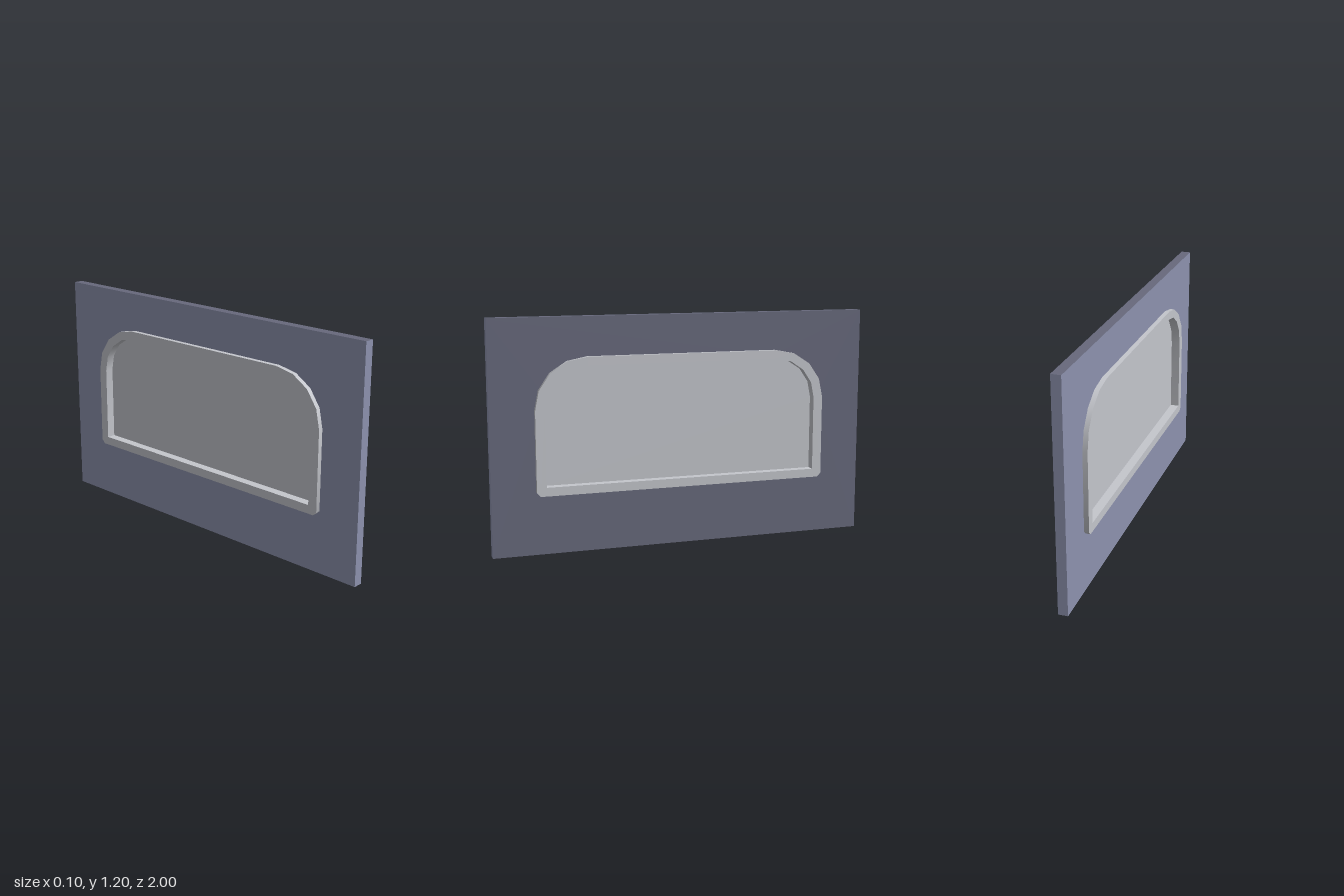
import * as THREE from 'three';
import { toCreasedNormals } from 'three/addons/utils/BufferGeometryUtils.js';

const paint = new THREE.MeshStandardMaterial({ color: 0x8d92ae });
paint.name = 'blue grey paint';
const darkPaint = new THREE.MeshStandardMaterial({ color: 0x67697c });
darkPaint.name = 'dark grey paint';
const pale = new THREE.MeshStandardMaterial({ color: 0xc4c6cc });
pale.name = 'pale grey';

// Window outline: square or chamfered foot, faceted elliptical shoulders
function windowPoints(halfWidth, bottom, top, chamfer) {
  const cx = 0.505, cy = 0.74;
  const half = chamfer
    ? [[halfWidth - chamfer, bottom], [halfWidth, bottom + chamfer]]
    : [[halfWidth, bottom]];
  for (let i = 0; i <= 4; i++) {
    const a = (i / 4) * Math.PI / 2;
    half.push([cx + (halfWidth - cx) * Math.cos(a), cy + (top - cy) * Math.sin(a)]);
  }
  const mirrored = half.map(([z, y]) => [-z, y]).reverse();
  return [...half, ...mirrored].map(([z, y]) => new THREE.Vector2(z, y));
}

// Extrude a z-y outline between two x positions
function slab(name, outline, hole, x0, x1, material) {
  const shape = new THREE.Shape(outline);
  if (hole) shape.holes.push(new THREE.Path(hole));
  const geometry = new THREE.ExtrudeGeometry(shape, { depth: x1 - x0, bevelEnabled: false });
  geometry.rotateY(-Math.PI / 2).translate(x1, 0, 0);
  const mesh = new THREE.Mesh(toCreasedNormals(geometry, 0.9), material);
  mesh.name = name;
  return mesh;
}

export function createModel() {
  const group = new THREE.Group();
  group.name = 'windowPanel';
  const rect = (top) => [[1, 0], [1, top], [-1, top], [-1, 0]].map(([z, y]) => new THREE.Vector2(z, y));
  const opening = windowPoints(0.75, 0.33, 0.975, 0);
  const inner = windowPoints(0.725, 0.35, 0.955, 0);

  // Wall panel with a differently painted face on its left side and top
  group.add(slab('wallPanel', rect(1.196), opening, -0.025, 0.021, paint));
  group.add(slab('wallFace', rect(1.196), opening, 0.021, 0.025, [darkPaint, paint]));
  const cap = new THREE.Mesh(new THREE.BoxGeometry(0.05, 0.004, 2),
    [darkPaint, paint, darkPaint, paint, paint, paint]);
  cap.name = 'topEdge';
  cap.position.y = 1.198;
  group.add(cap);

  // Raised frame standing proud on both sides, with a thin pane in the middle
  group.add(slab('windowFrame', windowPoints(0.775, 0.305, 1, 0.02), inner, -0.05, 0.05, pale));
  group.add(slab('windowPane', inner, null, -0.004, 0.004, pale));
  return group;
}
